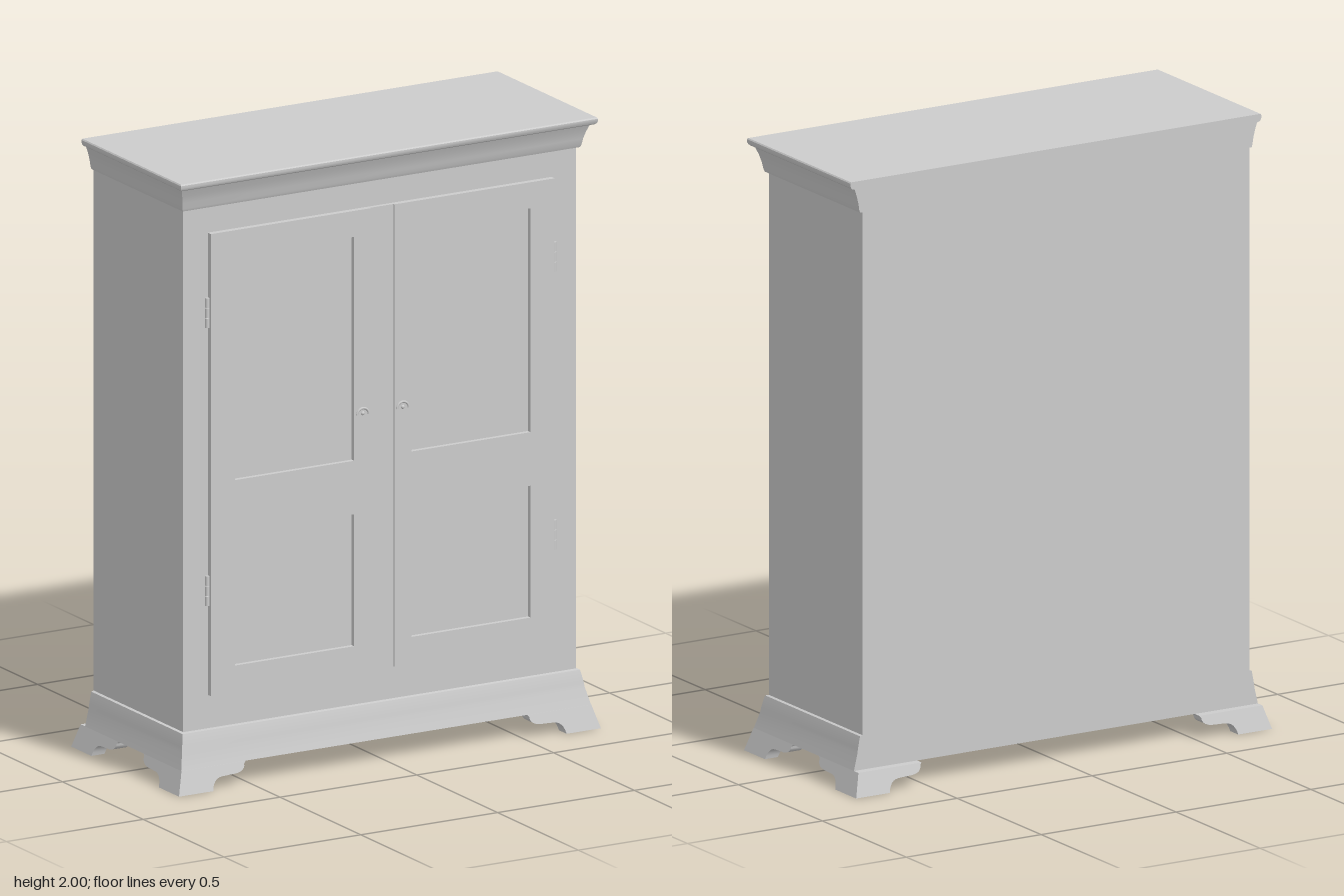
import * as THREE from 'three';
import { toCreasedNormals } from 'three/addons/utils/BufferGeometryUtils.js';

const HALF_W = 0.718, FRONT = 0.27, BACK = -0.285, FLOOR = 0.075, TOP = 2;

const material = new THREE.MeshStandardMaterial({ color: 0xcccccc });
const sheetMaterial = new THREE.MeshStandardMaterial({ color: 0xcccccc, side: THREE.DoubleSide });

function add(parent, name, geometry, x = 0, y = 0, z = 0, mat = material) {
  const mesh = new THREE.Mesh(geometry, mat);
  mesh.name = name;
  mesh.position.set(x, y, z);
  parent.add(mesh);
  return mesh;
}

const rectPoints = (x0, y0, x1, y1) =>
  [[x0, y0], [x1, y0], [x1, y1], [x0, y1]].map(p => new THREE.Vector2(...p));

function rectWithHoles(outer, holes) {
  const shape = new THREE.Shape(rectPoints(...outer));
  for (const h of holes) shape.holes.push(new THREE.Path(rectPoints(...h).reverse()));
  return shape;
}

// Sweeps a closed profile [outward, height] round both sides and the front, with mitred corners
function mouldingGeometry(profile, depthFactor) {
  const stations = [[1, 0], [1, 1], [-1, 1], [-1, 0]].map(([side, front]) =>
    profile.map(([o, y]) => [side * (HALF_W + o), y, front ? FRONT + o * depthFactor : BACK]));
  const pos = [];
  const tri = (...corners) => corners.forEach(c => pos.push(...c));
  for (let i = 0; i < 3; i++) {
    const a = stations[i], b = stations[i + 1];
    for (let j = 0; j < profile.length; j++) {
      const k = (j + 1) % profile.length;
      tri(a[j], a[k], b[j]);
      tri(a[k], b[k], b[j]);
    }
  }
  // End caps at the back
  const caps = THREE.ShapeUtils.triangulateShape(profile.map(p => new THREE.Vector2(...p)), []);
  for (const [p, q, r] of caps) {
    tri(stations[0][p], stations[0][r], stations[0][q]);
    tri(stations[3][p], stations[3][q], stations[3][r]);
  }
  const g = new THREE.BufferGeometry();
  g.setAttribute('position', new THREE.Float32BufferAttribute(pos, 3));
  return toCreasedNormals(g, 0.5);
}

// One scrolled board of a bracket foot, leaning outward and mitred at the corner
function footBoard(sx, sz, alongSide) {
  const shape = new THREE.Shape();
  shape.moveTo(0, 0);
  shape.lineTo(0.125, 0);
  shape.quadraticCurveTo(0.132, 0.038, 0.165, 0.04);
  shape.lineTo(0.215, 0.042);
  shape.quadraticCurveTo(0.25, 0.045, 0.25, 0.068);
  shape.lineTo(0.256, FLOOR);
  shape.lineTo(0, FLOOR);
  const g = new THREE.ExtrudeGeometry(shape, { depth: 0.048, bevelEnabled: false, curveSegments: 6 });
  const p = g.attributes.position;
  for (let i = 0; i < p.count; i++) {
    const s = p.getX(i), y = p.getY(i), d = p.getZ(i);
    const lean = 0.022 * y / FLOOR;
    const along = s < 1e-6 ? d + lean : s, across = d + lean;
    p.setXYZ(i, sx * (0.771 - (alongSide ? across : along)), y,
      sz * (0.334 - (alongSide ? along : across)));
  }
  // The extrusion's d axis runs inward; restore outward winding after mirroring
  if (sx * sz * (alongSide ? -1 : 1) < 0) {
    for (let i = 0; i < p.count; i += 3) {
      const b = [p.getX(i + 1), p.getY(i + 1), p.getZ(i + 1)];
      p.setXYZ(i + 1, p.getX(i + 2), p.getY(i + 2), p.getZ(i + 2));
      p.setXYZ(i + 2, ...b);
    }
  }
  return toCreasedNormals(g, 0.5);
}

function buildCarcass() {
  const carcass = new THREE.Group();
  carcass.name = 'carcass';
  const height = TOP - FLOOR, midY = FLOOR + height / 2, depth = FRONT - BACK, midZ = (FRONT + BACK) / 2;
  // Thin walls, open underneath
  for (const s of [1, -1]) {
    add(carcass, s > 0 ? 'leftSide' : 'rightSide',
      new THREE.PlaneGeometry(depth, height).rotateY(s * Math.PI / 2), s * HALF_W, midY, midZ, sheetMaterial);
  }
  add(carcass, 'backPanel', new THREE.PlaneGeometry(HALF_W * 2, height).rotateY(Math.PI), 0, midY, BACK, sheetMaterial);
  add(carcass, 'topPanel', new THREE.PlaneGeometry(HALF_W * 2, depth).rotateX(-Math.PI / 2), 0, TOP, midZ, sheetMaterial);
  const face = rectWithHoles([-HALF_W, FLOOR, HALF_W, TOP], [[-0.628, 0.297, 0.628, 1.81]]);
  add(carcass, 'faceFrame', new THREE.ShapeGeometry(face), 0, 0, FRONT, sheetMaterial);
  return carcass;
}

function buildDoor(side) {
  const door = new THREE.Group();
  door.name = side > 0 ? 'leftDoor' : 'rightDoor';
  const span = (a, y0, b, y1) => side > 0 ? [a, y0, b, y1] : [-b, y0, -a, y1];
  const panels = [span(0.105, 0.385, 0.54, 0.817), span(0.105, 0.992, 0.54, 1.725)];

  // Frame with two sunken panels
  const frame = rectWithHoles(span(0.042, 0.297, 0.628, 1.81), panels);
  add(door, 'doorFrame', new THREE.ExtrudeGeometry(frame, { depth: 0.03, bevelEnabled: false }), 0, 0, 0.26);
  for (const [x0, y0, x1, y1] of panels) {
    add(door, 'doorPanel', new THREE.BoxGeometry(x1 - x0, y1 - y0, 0.01), (x0 + x1) / 2, (y0 + y1) / 2, 0.269);
  }

  // Hinges made of three knuckles
  for (const y of [0.64, 1.55]) {
    for (const k of [-1, 0, 1]) {
      add(door, 'hingeKnuckle', new THREE.CylinderGeometry(0.007, 0.007, 0.031, 12), side * 0.634, y + k * 0.033, 0.277);
    }
  }

  // Small arched pull with a centre stud
  add(door, 'pullArch', new THREE.TorusGeometry(0.021, 0.004, 8, 20, Math.PI), side * 0.073, 1.139, 0.29);
  add(door, 'pullStud', new THREE.SphereGeometry(0.007, 12, 8), side * 0.073, 1.143, 0.288);
  return door;
}

export function createModel() {
  const model = new THREE.Group();
  model.name = 'wardrobe';
  model.add(buildCarcass(), buildDoor(1), buildDoor(-1));

  // Slightly recessed strip where the doors meet
  add(model, 'meetingStrip', new THREE.BoxGeometry(0.084, 1.513, 0.023), 0, 1.0535, 0.2735);

  // Crown moulding: fillet, cove and rounded lip
  const crown = [[0, 1.895], [0.008, 1.896], [0.011, 1.905], [0.014, 1.925], [0.02, 1.95], [0.028, 1.974],
    [0.036, 1.976], [0.041, 1.98], [0.044, 1.988], [0.044, 1.996], [0.041, 2], [0, 2]];
  add(model, 'crownMoulding', mouldingGeometry(crown, 1.4), 0, 0, 0, sheetMaterial);

  // Flared base moulding
  const base = [[0, FLOOR], [0.031, FLOOR], [0.018, 0.13], [0.016, 0.145], [0.011, 0.172], [0.008, 0.185], [0, 0.188]];
  add(model, 'baseMoulding', mouldingGeometry(base, 1.3), 0, 0, 0, sheetMaterial);

  // Four bracket feet
  for (const sx of [1, -1]) {
    for (const sz of [1, -1]) {
      const foot = new THREE.Group();
      foot.name = `${sz > 0 ? 'front' : 'back'}${sx > 0 ? 'Left' : 'Right'}Foot`;
      add(foot, 'footFaceBoard', footBoard(sx, sz, false));
      add(foot, 'footSideBoard', footBoard(sx, sz, true));
      model.add(foot);
    }
  }
  return model;
}
